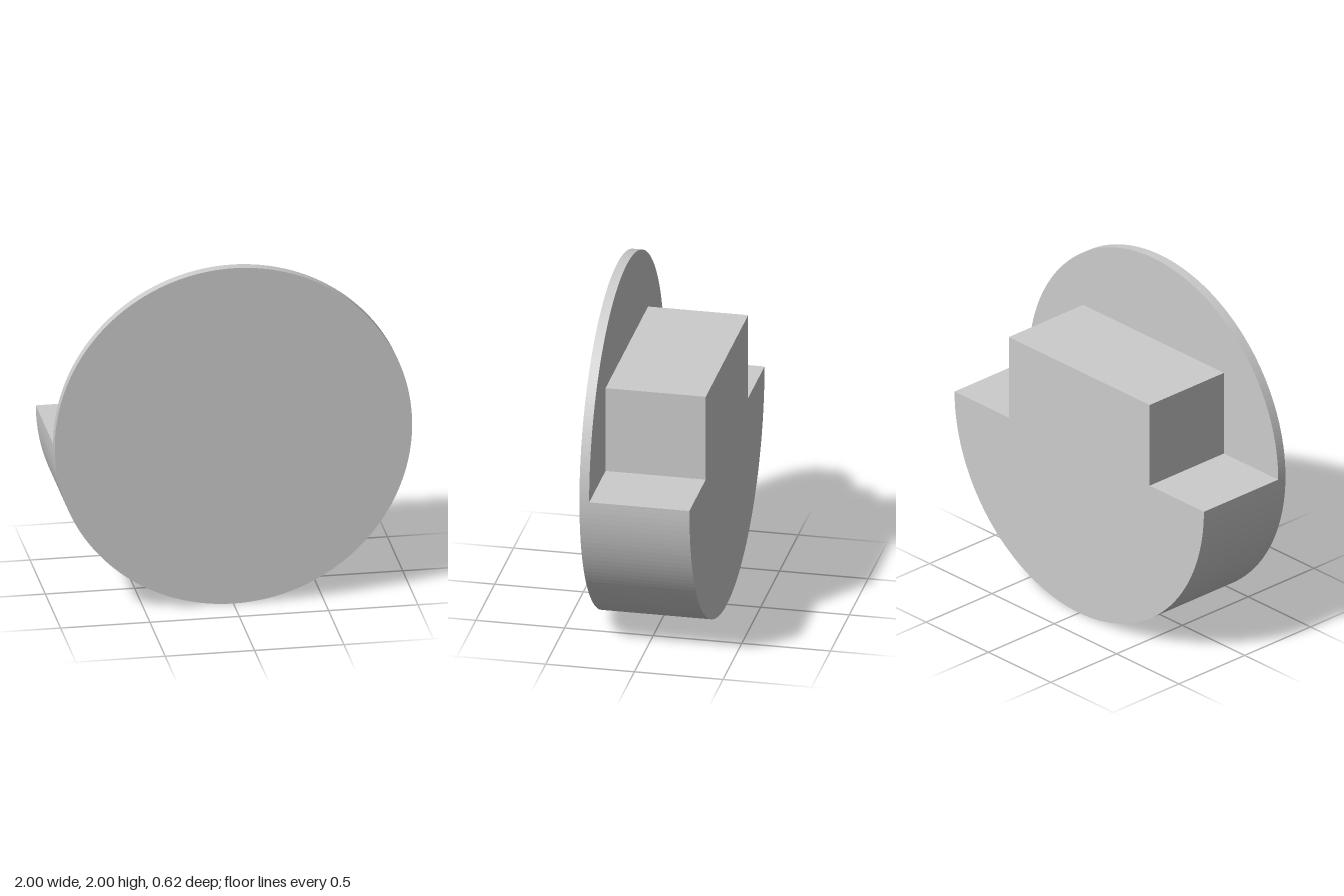
import * as THREE from 'three';

const RADIUS = 1, BACK = -0.31, JOINT = 0.255, FRONT = 0.31;
const BLOCK_HALF_WIDTH = 0.565, BLOCK_HEIGHT = 0.5;

export function createModel() {
  const model = new THREE.Group();
  const material = new THREE.MeshStandardMaterial({ color: 0xcccccc, flatShading: true });

  // Extrudes a profile, drawn around the disc centre, between two depths
  function addPart(name, shape, z0, z1, curveSegments) {
    const geometry = new THREE.ExtrudeGeometry(shape, { depth: z1 - z0, bevelEnabled: false, curveSegments });
    geometry.translate(0, RADIUS, z0);
    const mesh = new THREE.Mesh(geometry, material);
    mesh.name = name;
    model.add(mesh);
  }

  // Thin full disc at the front
  const disc = new THREE.Shape();
  disc.absarc(0, 0, RADIUS, 0, Math.PI * 2, false);
  addPart('frontDisc', disc, JOINT, FRONT, 96);

  // Half-round body with a raised rectangular block on its flat top
  const body = new THREE.Shape();
  body.moveTo(-RADIUS, 0);
  body.absarc(0, 0, RADIUS, Math.PI, Math.PI * 2, false);
  body.lineTo(BLOCK_HALF_WIDTH, 0);
  body.lineTo(BLOCK_HALF_WIDTH, BLOCK_HEIGHT);
  body.lineTo(-BLOCK_HALF_WIDTH, BLOCK_HEIGHT);
  body.lineTo(-BLOCK_HALF_WIDTH, 0);
  body.closePath();
  addPart('steppedBody', body, BACK, JOINT, 48);

  return model;
}
